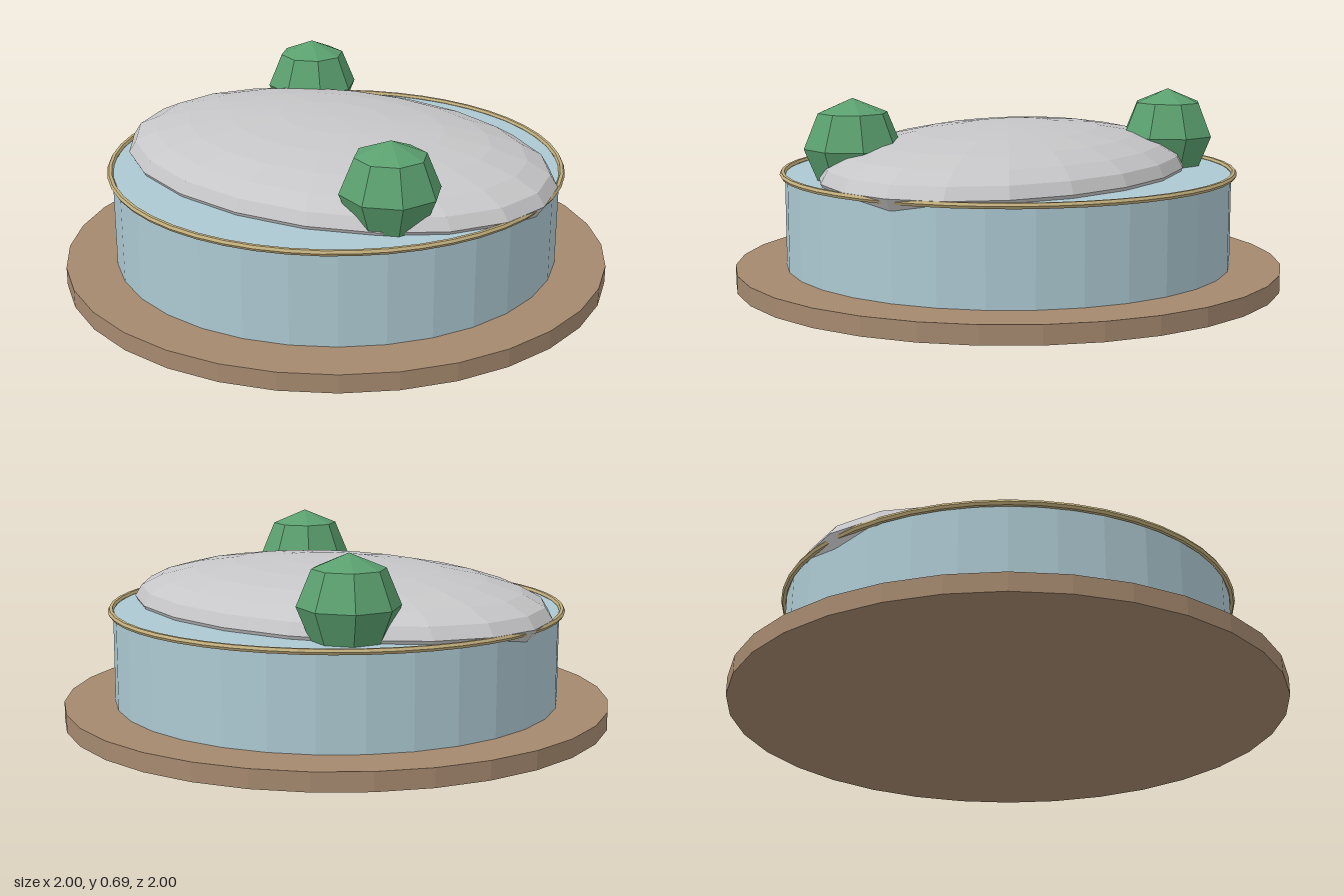
import * as THREE from 'three';

export function createModel() {
  const model = new THREE.Group();
  const material = (name, color) => {
    const m = new THREE.MeshStandardMaterial({ color, flatShading: true });
    m.name = name;
    return m;
  };
  const earth = material('earth brown', 0xa5896f);
  const water = material('pale blue', 0xacc8d1);
  const stone = material('light grey', 0xc6c6c8);
  const brass = material('sand gold', 0xc2ae7c);
  const leaf = material('leaf green', 0x5ba06f);

  const add = (name, geometry, mat, x, y, z) => {
    const mesh = new THREE.Mesh(geometry, mat);
    mesh.name = name;
    mesh.position.set(x, y, z);
    model.add(mesh);
    return mesh;
  };

  // Wide base disc and the drum standing on it
  add('baseDisc', new THREE.CylinderGeometry(1, 1, 0.066, 32), earth, 0, 0.033, 0);
  add('drum', new THREE.CylinderGeometry(0.815, 0.815, 0.337, 32), water, 0, 0.2335, 0);

  // Thin ring round the top edge of the drum
  const rim = new THREE.TorusGeometry(0.823, 0.011, 6, 48).rotateX(Math.PI / 2);
  add('rimRing', rim, brass, 0, 0.404, 0);

  // Flattened oval dome, sunk halfway into the drum
  const dome = new THREE.SphereGeometry(1, 20, 12).scale(0.845, 0.165, 0.615);
  add('dome', dome, stone, 0, 0.414, 0);

  // Two faceted bushes
  const bush = new THREE.SphereGeometry(0.175, 8, 4);
  add('frontBush', bush, leaf, 0.46, 0.514, 0.375);
  add('backBush', bush, leaf, -0.417, 0.514, -0.46);

  return model;
}
